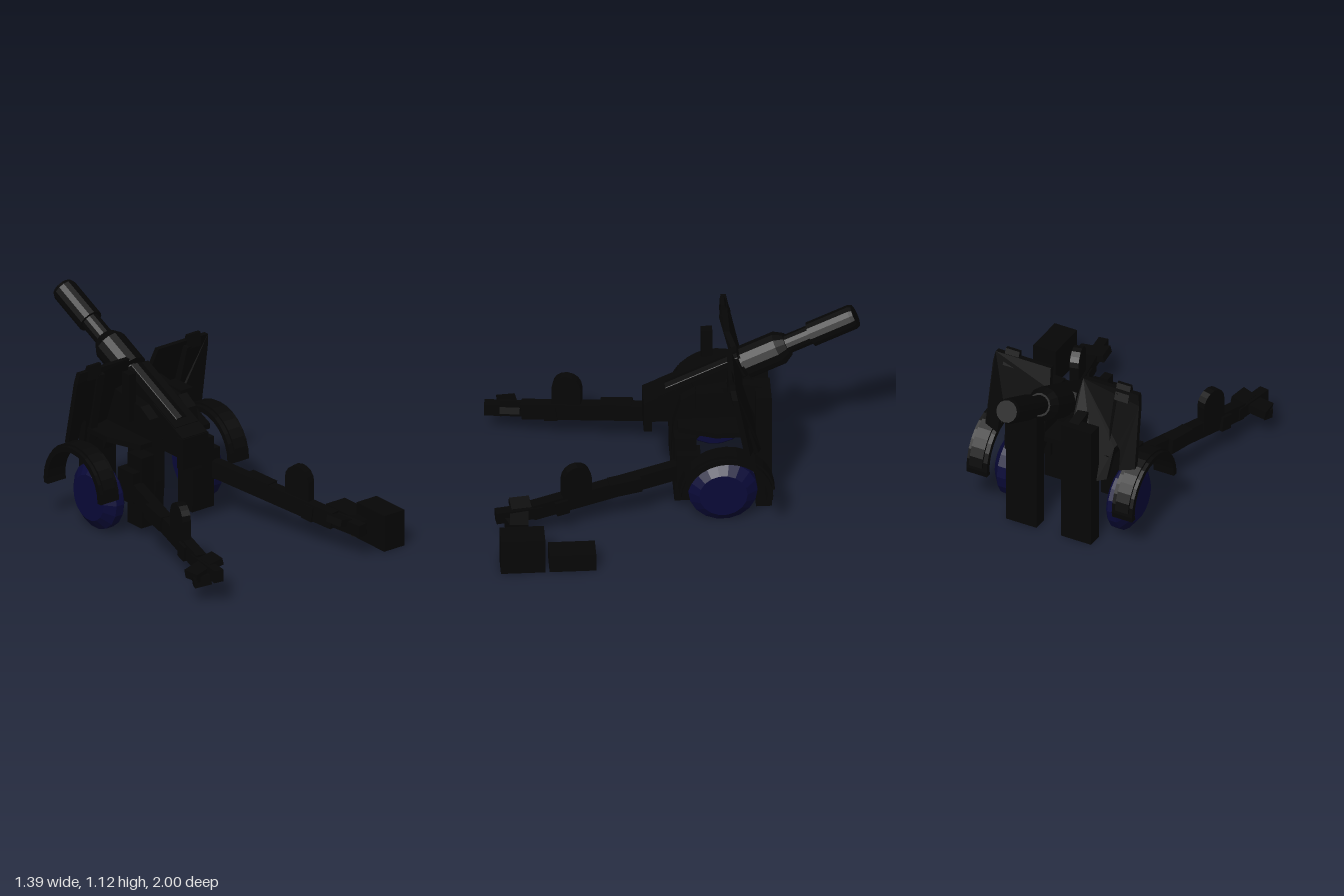
import * as THREE from 'three';

const metal = new THREE.MeshStandardMaterial({ color: 0x060606 });
metal.name = 'blackMetal';
const navy = new THREE.MeshStandardMaterial({ color: 0x090938 });
navy.name = 'navyWheel';

function add(parent, name, geo, mat = metal) {
  const m = new THREE.Mesh(geo.index ? geo.toNonIndexed() : geo, mat);
  m.geometry.computeVertexNormals();
  m.name = name;
  parent.add(m);
  return m;
}

// Box given by its limits on each axis
function box(parent, name, x0, x1, y0, y1, z0, z1) {
  const g = new THREE.BoxGeometry(Math.abs(x1 - x0), y1 - y0, Math.abs(z1 - z0));
  g.translate((x0 + x1) / 2, (y0 + y1) / 2, (z0 + z1) / 2);
  return add(parent, name, g);
}

// Side profile of [z, y] points, extruded from x0 to x1
function slab(parent, name, points, x0, x1) {
  const shape = new THREE.Shape(points.map(p => new THREE.Vector2(...p)));
  const lo = Math.min(x0, x1), hi = Math.max(x0, x1);
  const g = new THREE.ExtrudeGeometry(shape, { depth: hi - lo, bevelEnabled: false });
  g.rotateY(-Math.PI / 2).translate(hi, 0, 0);
  return add(parent, name, g);
}

// Rectangular beam between two points
function beam(parent, name, a, b, w, h) {
  const A = new THREE.Vector3(...a), B = new THREE.Vector3(...b);
  const m = add(parent, name, new THREE.BoxGeometry(w, h, A.distanceTo(B)));
  m.position.copy(A).lerp(B, 0.5);
  m.lookAt(B);
  return m;
}

// Arc points around (cz, cy) in the side plane
function arc(cz, cy, r, from, to, n) {
  return Array.from({ length: n + 1 }, (_, i) => {
    const t = from + (to - from) * i / n;
    return [cz + r * Math.cos(t), cy + r * Math.sin(t)];
  });
}

function buildGun() {
  const gun = new THREE.Group();
  gun.name = 'gun';
  // Local +y runs towards the muzzle
  const tube = (name, r0, r1, from, to) => add(gun, name,
    new THREE.CylinderGeometry(r1, r0, to - from, 14).translate(0, (from + to) / 2, 0));
  tube('barrel', 0.055, 0.053, -0.1, 0.42);
  tube('barrelSleeve', 0.094, 0.094, 0, 0.2);
  tube('sleeveTaper', 0.094, 0.065, 0.2, 0.25);
  tube('muzzleBrake', 0.07, 0.07, 0.39, 0.635);
  tube('muzzleTip', 0.07, 0.062, 0.635, 0.655);
  tube('recoilCylinder', 0.075, 0.075, -0.45, -0.02);
  box(gun, 'breech', -0.085, 0.085, -0.58, -0.3, -0.07, 0.06);
  box(gun, 'cradle', -0.08, 0.08, -0.5, -0.02, -0.03, 0.065);
  gun.position.set(0, 0.779, -0.38);
  gun.rotation.x = -Math.PI / 2 + 0.443;
  return gun;
}

function buildSide(s) {
  const side = new THREE.Group();
  side.name = s > 0 ? 'leftSide' : 'rightSide';

  // Wheel with a bevelled outer face
  const profile = [[0, -0.055], [0.172, -0.055], [0.187, -0.04], [0.187, 0.01], [0.13, 0.055], [0, 0.055]];
  const wheel = add(side, 'wheel', new THREE.LatheGeometry(profile.map(p => new THREE.Vector2(...p)), 18), navy);
  wheel.rotation.z = -s * Math.PI / 2;
  wheel.position.set(s * 0.355, 0.188, -0.235);

  // Arched fender with a narrower raised crown
  slab(side, 'fender', [
    ...arc(-0.25, 0.25, 0.248, 0, Math.PI, 14),
    [-0.495, 0.22], [-0.46, 0.22],
    ...arc(-0.25, 0.25, 0.218, Math.PI, 0, 14),
  ], s * 0.385, s * 0.51);
  slab(side, 'fenderCrown', [
    ...arc(-0.25, 0.25, 0.26, 0.1, Math.PI - 0.1, 14),
    ...arc(-0.25, 0.25, 0.24, Math.PI - 0.1, 0.1, 14),
  ], s * 0.41, s * 0.49);

  // Carriage cheek with an arch over the wheel
  slab(side, 'cheek', [
    [0.03, 0.3], [0.02, 0.05], [-0.1, 0.05], [-0.1, 0.38], [-0.16, 0.46], [-0.24, 0.5],
    [-0.32, 0.47], [-0.39, 0.41], [-0.43, 0.32], [-0.46, 0.72], [-0.36, 0.74], [-0.1, 0.7],
    [-0.02, 0.65], [0.02, 0.5],
  ], s * 0.1, s * 0.16);
  box(side, 'frontLeg', s * 0.1, s * 0.25, 0.05, 0.46, 0.02, -0.1);
  box(side, 'hingeBlock', s * 0.2, s * 0.3, 0.2, 0.38, 0.01, -0.12);

  // Deck between the cheek and the shield, narrowing to the front
  const deck = new THREE.Shape([[0, 0], [0.24, 0], [0.31, 0.2], [0.31, 0.4], [0, 0.4]]
    .map(([x, y]) => new THREE.Vector2(s * x, y)));
  const deckGeo = new THREE.ExtrudeGeometry(deck, { depth: 0.03, bevelEnabled: false });
  add(side, 'deck', deckGeo.rotateX(-Math.PI / 2).translate(0, 0.5, 0));

  // Upright lower shield
  box(side, 'lowerShield', s * 0.075, s * 0.262, 0, 0.72, -0.42, -0.505);

  // Upper shield, leaning back as it rises, with the outer edge steeper
  const outline = [[0.1, 0.91], [0.44, 0.91], [0.45, 0.85], [0.46, 0.48], [0.375, 0.46],
    [0.37, 0.57], [0.35, 0.6], [0.335, 0.58], [0.315, 0.4], [0.26, 0.38], [0.075, 0.4], [0.085, 0.8]];
  const shape = new THREE.Shape(outline.map(([x, y]) => new THREE.Vector2(s * x, y)));
  const plate = new THREE.ExtrudeGeometry(shape, { depth: 0.03, bevelEnabled: false });
  const p = plate.attributes.position;
  for (let i = 0; i < p.count; i++) {
    const slope = 0.36 - 0.5 * (Math.abs(p.getX(i)) - 0.1);
    p.setZ(i, p.getZ(i) - 0.3 - (0.91 - p.getY(i)) * slope);
  }
  add(side, 'upperShield', plate);
  slab(side, 'shieldCap', [[-0.26, 0.86], [-0.265, 0.94], [-0.285, 0.94], [-0.32, 0.85], [-0.29, 0.85]],
    s * 0.3, s * 0.385);
  beam(side, 'shieldRib', [s * 0.3, 0.88, -0.28], [s * 0.28, 0.42, -0.39], 0.04, 0.05);

  // Trail, its raised plate and the ground spade
  beam(side, 'trail', [s * 0.25, 0.275, -0.05], [s * 0.46, 0.175, 0.8], 0.06, 0.095);
  beam(side, 'trailSleeve', [s * 0.335, 0.25, 0.21], [s * 0.365, 0.235, 0.38], 0.075, 0.085);
  const paddle = slab(side, 'trailPlate',
    [[0.08, -0.12], ...arc(0, 0.03, 0.08, 0, Math.PI, 8), [-0.08, -0.12]], -0.025, 0.025);
  paddle.position.set(s * 0.41, 0.32, 0.56);
  paddle.rotation.y = s * 0.24;
  beam(side, 'trailCollar', [s * 0.42, 0.19, 0.61], [s * 0.435, 0.18, 0.68], 0.085, 0.085);
  beam(side, 'trailTip', [s * 0.46, 0.175, 0.75], [s * 0.495, 0.17, 1], 0.055, 0.07);
  beam(side, 'spadeOuter', [s * 0.47, 0.18, 0.87], [s * 0.59, 0.155, 0.88], 0.1, 0.05);
  beam(side, 'spadeFluke', [s * 0.5, 0.14, 0.93], [s * 0.585, 0.125, 0.89], 0.05, 0.06);
  beam(side, 'spadeInner', [s * 0.48, 0.19, 0.86], [s * 0.4, 0.21, 0.87], 0.11, 0.04);
  return side;
}

export function createModel() {
  const model = new THREE.Group();
  model.name = 'fieldGun';

  const gunCarriage = new THREE.Group();
  gunCarriage.name = 'gunCarriage';
  gunCarriage.position.x = -0.1;
  model.add(gunCarriage);
  gunCarriage.add(buildGun(), buildSide(1), buildSide(-1));

  // Saddle and breech gear between the cheeks
  box(gunCarriage, 'saddle', -0.11, 0.11, 0.42, 0.6, -0.05, -0.23);
  box(gunCarriage, 'breechGuard', -0.09, 0.09, 0.4, 0.58, 0.13, 0.175);
  box(gunCarriage, 'breechStep', -0.085, 0.085, 0.46, 0.58, 0, 0.14);
  box(gunCarriage, 'sight', -0.2, -0.15, 0.6, 0.88, -0.15, -0.21);
  box(gunCarriage, 'elevatingGear', 0.12, 0.2, 0.6, 0.72, -0.1, -0.25);

  // Ammunition boxes beside the trail
  box(model, 'largeBox', 0.552, 0.69, 0, 0.21, 0.75, 0.99);
  box(model, 'smallBox', 0.56, 0.69, 0, 0.105, 0.475, 0.727);
  return model;
}
